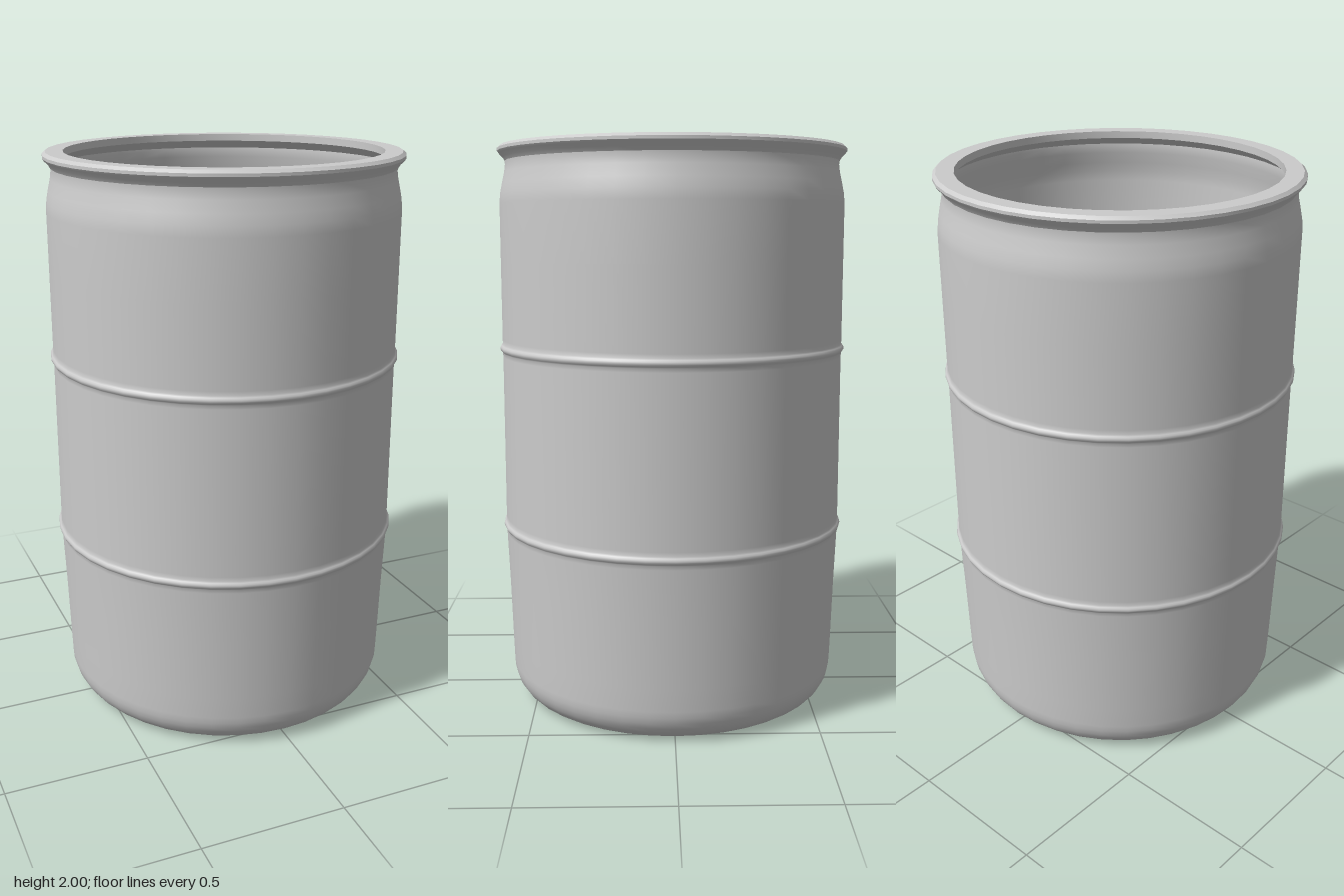
import * as THREE from 'three';
import { toCreasedNormals } from 'three/addons/utils/BufferGeometryUtils.js';

const SIDES = 40;

export function createModel() {
  const group = new THREE.Group();
  group.name = 'openBarrel';
  const material = new THREE.MeshStandardMaterial({ color: 0xcccccc, side: THREE.DoubleSide });

  // Revolve a profile of [radius, height] pairs; a crease angle keeps hard edges
  const revolve = (name, profile, crease) => {
    let geometry = new THREE.LatheGeometry(profile.map(([r, y]) => new THREE.Vector2(r, y)), SIDES);
    if (crease) geometry = toCreasedNormals(geometry, crease);
    const mesh = new THREE.Mesh(geometry, material);
    mesh.name = name;
    group.add(mesh);
  };

  // Flat base with a rounded bottom edge
  const profile = [[0, 0], [0.3, 0], [0.48, 0]];
  for (let i = 0; i <= 8; i++) {
    const a = (i / 8) * Math.PI / 2;
    profile.push([0.497 + 0.1 * Math.sin(a), 0.12 - 0.12 * Math.cos(a)]);
  }

  // Wall: tapered lower part, two raised hoops, straight upper part
  profile.push([0.6, 0.2], [0.607, 0.42]);
  for (const y of [0.645, 1.29]) {
    profile.push([0.615, y - 0.03], [0.616, y - 0.016]);
    for (let i = 1; i < 6; i++) {
      const t = i / 6;
      profile.push([0.616 + 0.009 * Math.sin(Math.PI * t), y - 0.016 + 0.032 * t]);
    }
    profile.push([0.616, y + 0.016], [0.616, y + 0.03]);
  }

  // Shoulder curving into the narrow neck
  profile.push([0.616, 1.6], [0.616, 1.8], [0.613, 1.835], [0.606, 1.87],
    [0.597, 1.91], [0.594, 1.935], [0.596, 1.955]);
  revolve('barrelBody', profile);

  // Flared rim with a flat, inward-reaching lip
  revolve('rim', [
    [0.594, 1.945], [0.603, 1.96], [0.616, 1.973], [0.621, 1.98], [0.621, 1.99],
    [0.61, 2], [0.55, 2], [0.55, 1.975], [0.594, 1.945],
  ], 0.6);

  return group;
}
